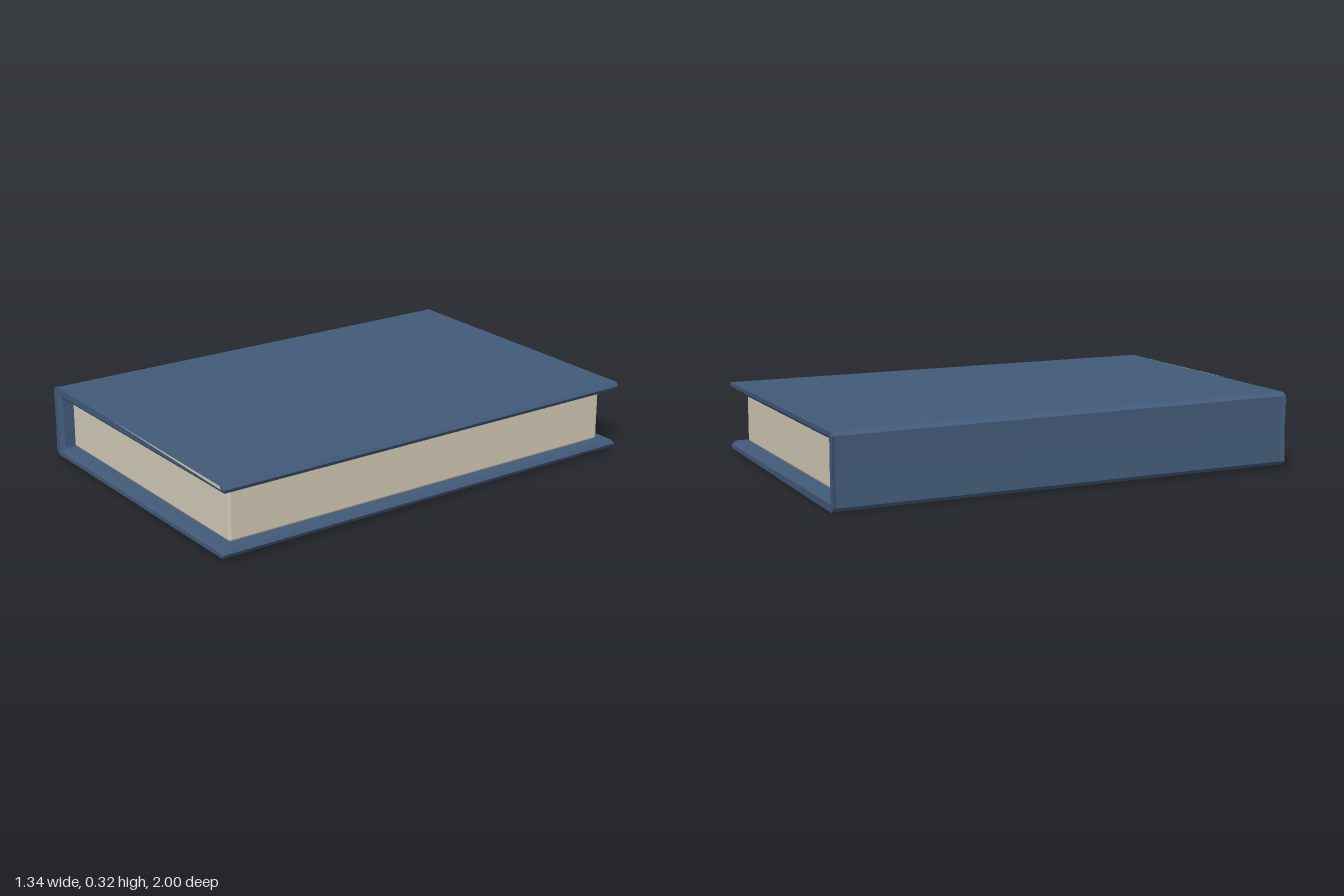
import * as THREE from 'three';
import { RoundedBoxGeometry } from 'three/addons/geometries/RoundedBoxGeometry.js';

const blue = new THREE.MeshStandardMaterial({ color: 0x425a78 });
const cream = new THREE.MeshStandardMaterial({ color: 0xd2cab6, side: THREE.DoubleSide });

// C-shaped binding, swept along z, with bevelled inner rims at both ends
function coverGeometry() {
  const profile = [
    [-0.64, 0.012], [0.657, 0.02], [0.668, 0.037], [0.657, 0.053], // lower board
    [-0.624, 0.053], [-0.624, 0.281], // inside of the spine
    [0.657, 0.281], [0.668, 0.298], [0.657, 0.314], [-0.64, 0.322], // upper board
    [-0.661, 0.307], [-0.656, 0.167], [-0.661, 0.03], // hollow back of the spine
  ];
  const shape = new THREE.Shape(profile.map(([x, y]) => new THREE.Vector2(x, y)));
  const geo = new THREE.ExtrudeGeometry(shape, { depth: 3, steps: 3, bevelEnabled: false });
  const stations = [-1, -0.984, 0.984, 1];
  const p = geo.attributes.position;
  for (let i = 0; i < p.count; i++) {
    let x = p.getX(i), y = p.getY(i);
    const z = stations[Math.round(p.getZ(i))];
    const inner = y > 0.05 && y < 0.285;
    const outerSpine = x < -0.63;
    if (Math.abs(z) === 1) {
      if (inner && !outerSpine) {
        // bevel the inner rim
        y += y > 0.167 ? 0.016 : -0.016;
        if (x < 0) x -= 0.016;
      }
      if (outerSpine) x -= 0.009; // slightly flared spine ends
    }
    if (outerSpine && !inner) y += 0.007 * z; // slightly skewed spine edges
    p.setXYZ(i, x, y, z);
  }
  geo.computeVertexNormals();
  return geo;
}

export function createModel() {
  const group = new THREE.Group();
  const add = (name, geo, material, x = 0, y = 0, z = 0) => {
    const mesh = new THREE.Mesh(geo, material);
    mesh.name = name;
    mesh.position.set(x, y, z);
    group.add(mesh);
  };

  add('cover', coverGeometry(), blue);

  // Page block
  add('pages', new RoundedBoxGeometry(1.235, 0.226, 1.88, 2, 0.012), cream, -0.005, 0.167, 0);

  // Worn paper sliver along the front edge of the upper board
  const sliver = new THREE.Shape([
    new THREE.Vector2(-0.2, 0.3255), new THREE.Vector2(0.655, 0.301), new THREE.Vector2(0.655, 0.314),
  ]);
  add('wornEdge', new THREE.ShapeGeometry(sliver), cream, 0, 0, 1.001);
  return group;
}
